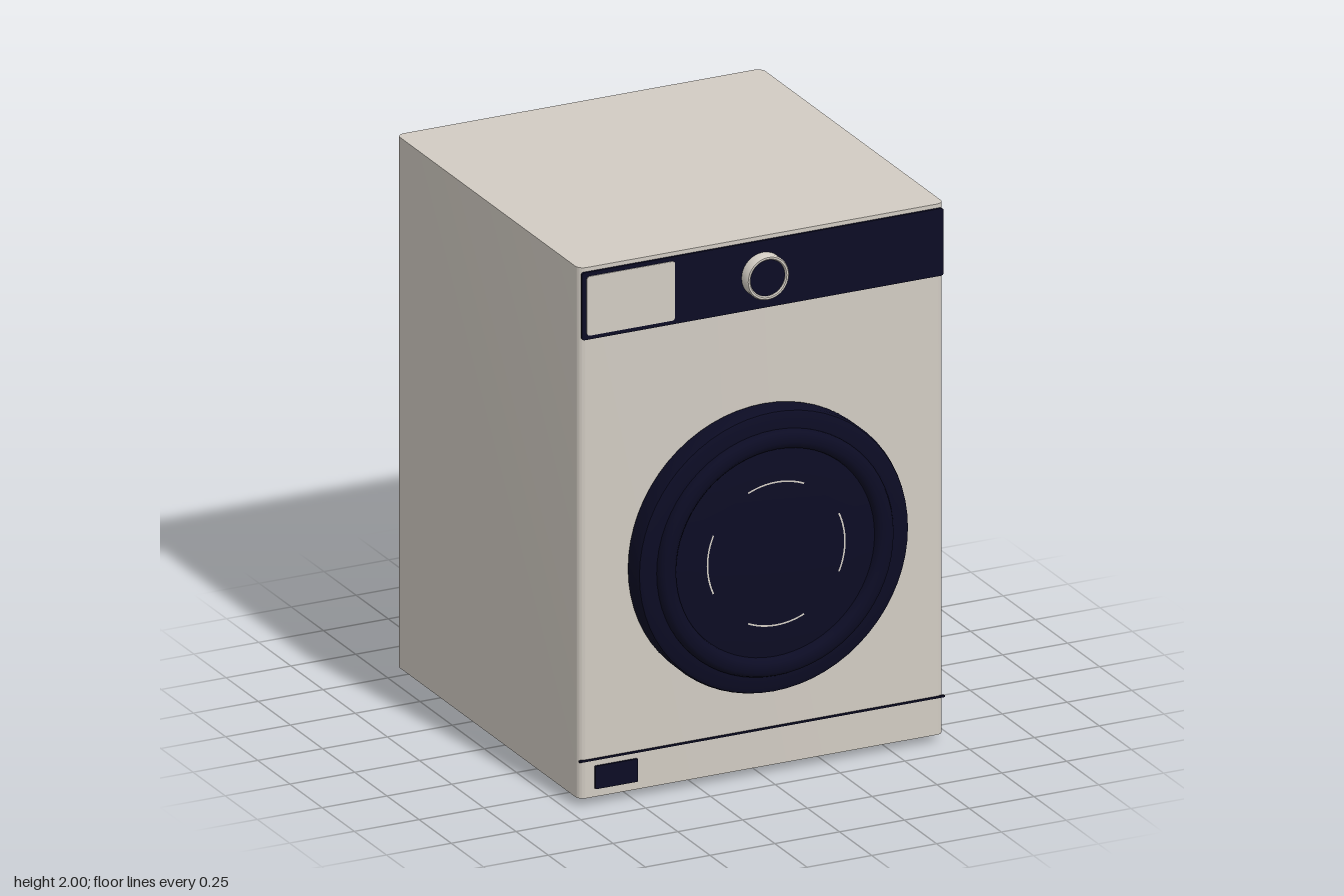
import * as THREE from 'three';
import { toCreasedNormals } from 'three/addons/utils/BufferGeometryUtils.js';

const FRONT = 0.645;

function roundedRect(w, h, r) {
  const x = w / 2, y = h / 2, s = new THREE.Shape();
  s.moveTo(-x + r, -y);
  s.lineTo(x - r, -y).absarc(x - r, -y + r, r, -Math.PI / 2, 0);
  s.lineTo(x, y - r).absarc(x - r, y - r, r, 0, Math.PI / 2);
  s.lineTo(-x + r, y).absarc(-x + r, y - r, r, Math.PI / 2, Math.PI);
  s.lineTo(-x, -y + r).absarc(-x + r, -y + r, r, Math.PI, Math.PI * 1.5);
  return s;
}

function slab(w, h, depth, r) {
  const geo = new THREE.ExtrudeGeometry(roundedRect(w, h, r), { depth, bevelEnabled: false, curveSegments: 6 });
  return toCreasedNormals(geo, 0.6);
}

// Turned part whose axis points to +z; points are [radius, z]
function turned(points, segments = 64) {
  const geo = new THREE.LatheGeometry(points.map(([r, z]) => new THREE.Vector2(r, z)), segments);
  return toCreasedNormals(geo.rotateX(Math.PI / 2), 0.6);
}

export function createModel() {
  const model = new THREE.Group();
  model.name = 'washingMachine';
  const enamel = new THREE.MeshStandardMaterial({ color: 0xd2ccc3 });
  enamel.name = 'warm white enamel';
  const navy = new THREE.MeshStandardMaterial({ color: 0x0c0c24 });
  navy.name = 'dark navy';

  const add = (name, geo, mat, x = 0, y = 0, z = 0, parent = model) => {
    const mesh = new THREE.Mesh(geo, mat);
    mesh.name = name;
    mesh.position.set(x, y, z);
    parent.add(mesh);
    return mesh;
  };

  // Cabinet with rounded upright edges
  const cabinet = slab(1.41, 1.42, 1.97, 0.03).rotateX(-Math.PI / 2);
  add('cabinet', cabinet, enamel, 0, 0.03, -0.065);

  // Control panel and detergent drawer
  add('controlPanel', slab(1.395, 0.25, 0.009, 0.01), navy, 0, 1.86, FRONT);
  add('detergentDrawer', slab(0.34, 0.22, 0.008, 0.012), enamel, -0.51, 1.86, FRONT + 0.004);

  // Program knob with dark recessed face
  const knob = new THREE.Group();
  knob.name = 'programKnob';
  knob.position.set(0, 1.86, FRONT);
  model.add(knob);
  add('knobRing', turned([[0.082, 0], [0.082, 0.046], [0.078, 0.052], [0.071, 0.052], [0.067, 0.047], [0.067, 0.03]], 48), enamel, 0, 0, 0, knob);
  add('knobFace', turned([[0.067, 0.035], [0.067, 0.045], [0, 0.045]], 48), navy, 0, 0, 0, knob);

  // Round door: outer rim, raised ring and shallow glass
  const door = new THREE.Group();
  door.name = 'door';
  door.position.set(0, 0.86, FRONT);
  model.add(door);
  add('doorRim', turned([
    [0.51, 0], [0.522, 0.012], [0.523, 0.08], [0.518, 0.093], [0.505, 0.1], [0.45, 0.1],
  ]), navy, 0, 0, 0, door);
  add('doorRing', turned([
    [0.455, 0.09], [0.455, 0.108], [0.448, 0.122], [0.435, 0.13], [0.412, 0.13],
    [0.398, 0.126], [0.388, 0.115], [0.385, 0.098],
  ]), navy, 0, 0, 0, door);
  add('doorGlass', turned([[0.39, 0.1], [0.33, 0.106], [0.265, 0.11], [0.13, 0.114], [0, 0.115]]), navy, 0, 0, 0, door);

  // Four thin light arcs on the glass
  const sweep = 0.84;
  for (let i = 0; i < 4; i++) {
    const start = i * Math.PI / 2 - sweep / 2;
    add('glassArc' + (i + 1), new THREE.RingGeometry(0.262, 0.268, 16, 1, start, sweep), enamel, 0, 0, 0.1125, door);
  }

  // Kick plate seam and filter hatch
  add('kickPlateSeam', new THREE.BoxGeometry(1.408, 0.007, 0.009), navy, 0, 0.17, FRONT);
  add('filterHatch', slab(0.165, 0.085, 0.008, 0.004), navy, -0.563, 0.103, FRONT);

  // Feet
  const footGeo = new THREE.CylinderGeometry(0.044, 0.044, 0.035, 24);
  for (const x of [-0.595, 0.595]) {
    for (const z of [0.53, -0.655]) add('foot', footGeo, navy, x, 0.0175, z);
  }
  return model;
}
